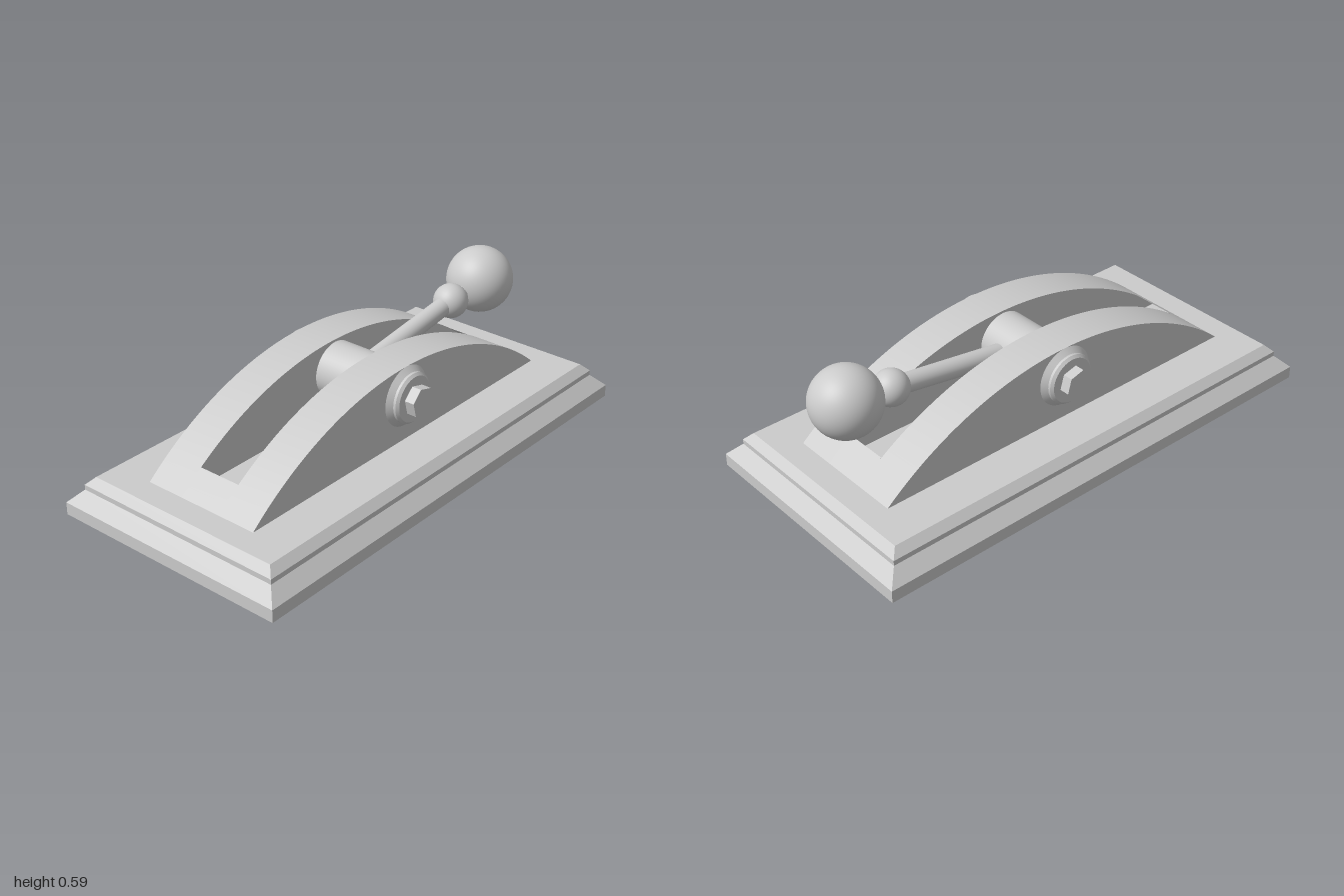
import * as THREE from 'three';
import { toCreasedNormals } from 'three/addons/utils/BufferGeometryUtils.js';

const material = new THREE.MeshStandardMaterial({ color: 0xcccccc });

export function createModel() {
  const model = new THREE.Group();

  const add = (name, geometry, parent = model) => {
    const mesh = new THREE.Mesh(geometry, material);
    mesh.name = name;
    parent.add(mesh);
    return mesh;
  };
  const points = (list) => list.map(([x, y]) => new THREE.Vector2(x, y));

  // Stepped base: a four-sided lathe whose corners are pushed out to a 1 x 2 rectangle
  const profile = points([[0, 0], [0.5, 0], [0.5, 0.05], [0.45, 0.1], [0.45, 0.12], [0.42, 0.15], [0, 0.15]]);
  const base = new THREE.LatheGeometry(profile, 4, Math.PI / 4).toNonIndexed();
  const pos = base.attributes.position;
  for (let i = 0; i < pos.count; i++) {
    const half = Math.abs(pos.getX(i)) * Math.SQRT2;
    if (half < 0.01) continue;
    pos.setX(i, Math.sign(pos.getX(i)) * half);
    pos.setZ(i, Math.sign(pos.getZ(i)) * (half + 0.5));
  }
  base.computeVertexNormals();
  add('base', base);

  // Arched housing: circular arc from z = -0.82 to 0.82, with a slot down the middle
  const floor = 0.15, rise = 0.3, reach = 0.82, slotEnd = 0.72, slotHalf = 0.09;
  const radius = (reach * reach + rise * rise) / (2 * rise);
  const centreY = floor + rise - radius;
  const archSlice = (z0, z1, width, segments) => {
    const shape = new THREE.Shape();
    shape.moveTo(z0, floor);
    shape.absarc(0, centreY, radius, Math.acos(z0 / radius), Math.acos(z1 / radius), true);
    const g = new THREE.ExtrudeGeometry(shape, { depth: width, bevelEnabled: false, curveSegments: segments });
    g.translate(0, 0, -width / 2).rotateY(-Math.PI / 2);
    return toCreasedNormals(g, 0.4);
  };
  const housing = new THREE.Group();
  housing.name = 'housing';
  model.add(housing);
  const cheek = archSlice(-reach, reach, 0.25 - slotHalf, 48);
  const slotBlock = archSlice(slotEnd, reach, slotHalf * 2, 4);
  for (const side of [1, -1]) {
    add(side > 0 ? 'leftCheek' : 'rightCheek', cheek, housing).position.x = side * (0.25 + slotHalf) / 2;
    add(side > 0 ? 'frontSlotEnd' : 'backSlotEnd', slotBlock, housing).rotation.y = side > 0 ? 0 : Math.PI;
  }

  // Pivot drum between the cheeks
  const pivotY = 0.33;
  add('pivotDrum', new THREE.CylinderGeometry(0.11, 0.11, slotHalf * 2, 48).rotateZ(Math.PI / 2)).position.y = pivotY;

  // Washer and hexagonal bolt head on each side
  const washer = toCreasedNormals(new THREE.LatheGeometry(
    points([[0, 0.24], [0.12, 0.24], [0.12, 0.25], [0.1, 0.27], [0.1, 0.28], [0.09, 0.29], [0, 0.29]]), 48), 0.4);
  washer.rotateZ(-Math.PI / 2);
  const bolt = new THREE.CylinderGeometry(0.06, 0.06, 0.05, 6).toNonIndexed();
  bolt.computeVertexNormals();
  bolt.rotateZ(-Math.PI / 2).rotateX(-Math.PI / 12);
  for (const side of [1, -1]) {
    const name = side > 0 ? 'left' : 'right';
    const w = add(name + 'Washer', washer);
    w.position.y = pivotY;
    w.rotation.y = side > 0 ? 0 : Math.PI;
    add(name + 'Bolt', bolt).position.set(side * 0.305, pivotY, 0);
  }

  // Lever leaning back from the pivot, built along its own y axis
  const lever = new THREE.Group();
  lever.name = 'lever';
  lever.position.y = pivotY;
  lever.rotation.x = -Math.atan2(0.79, 0.122);
  model.add(lever);
  add('leverRod', new THREE.CylinderGeometry(0.036, 0.04, 0.7, 32), lever).position.y = 0.38;
  add('leverCollar', new THREE.SphereGeometry(0.07, 32, 20), lever).position.y = 0.605;
  add('leverKnob', new THREE.SphereGeometry(0.135, 48, 32), lever).position.y = 0.8;

  return model;
}
